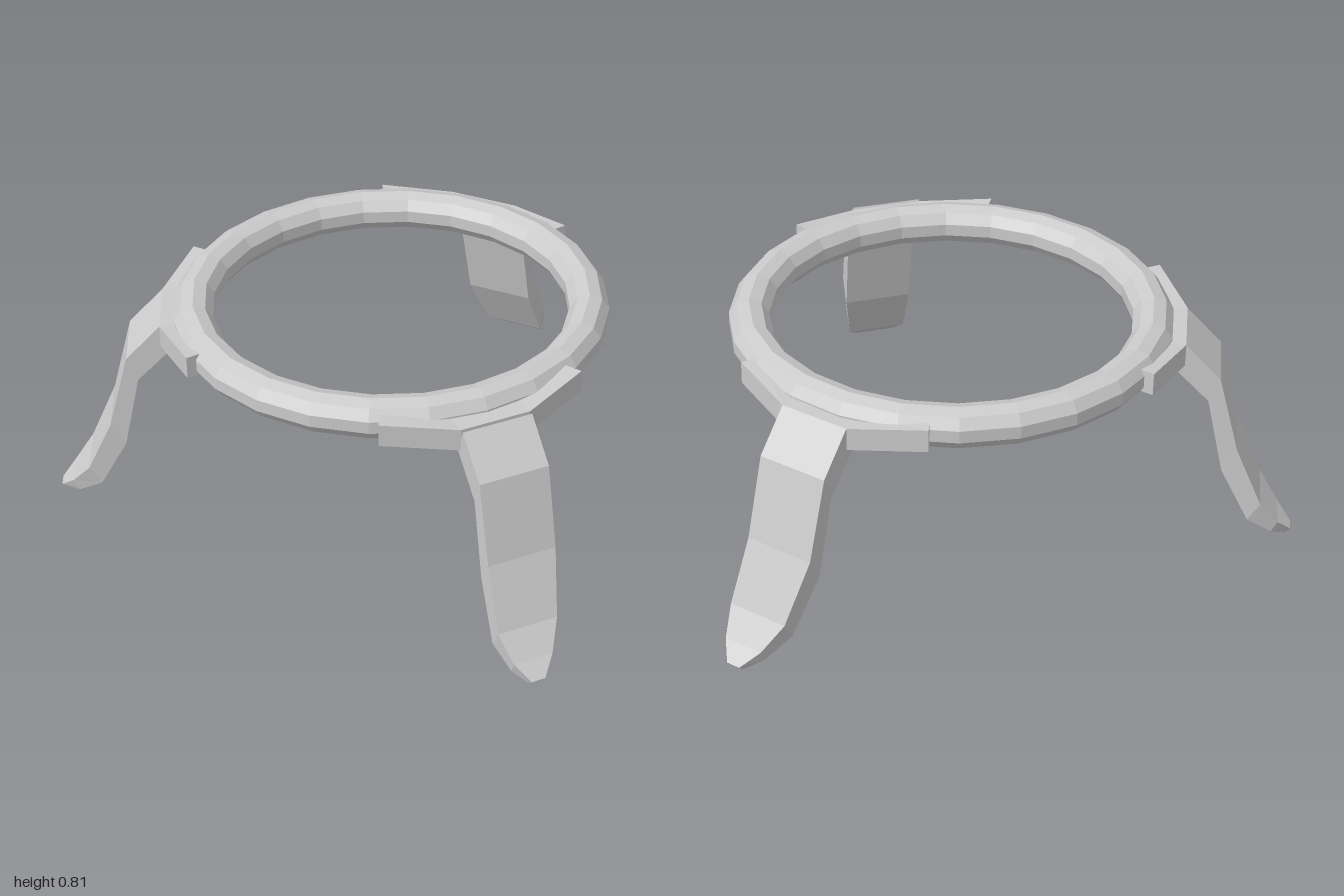
import * as THREE from 'three';

const material = new THREE.MeshStandardMaterial({ color: 0xcccccc, flatShading: true });

// Joins four-cornered cross-sections (counterclockwise about the path) into a closed solid
function loft(sections) {
  const pos = [];
  const quad = (a, b, c, d) => pos.push(...a, ...b, ...c, ...a, ...c, ...d);
  for (let i = 0; i < sections.length - 1; i++) {
    const p = sections[i], q = sections[i + 1];
    for (let k = 0; k < 4; k++) {
      const n = (k + 1) % 4;
      quad(p[k], p[n], q[n], q[k]);
    }
  }
  const [s0, s1, s2, s3] = sections[0];
  quad(s0, s3, s2, s1);
  quad(...sections[sections.length - 1]);
  const geo = new THREE.BufferGeometry();
  geo.setAttribute('position', new THREE.Float32BufferAttribute(pos, 3));
  geo.computeVertexNormals();
  return geo;
}

function named(geometry, name) {
  const mesh = new THREE.Mesh(geometry, material);
  mesh.name = name;
  return mesh;
}

// Ring: ten-sided tube in 24 segments
function makeRing() {
  const profile = [];
  for (let i = 0; i <= 10; i++) {
    const a = ((i - 0.5) / 10) * Math.PI * 2;
    profile.push(new THREE.Vector2(0.673 + 0.071 * Math.cos(a), 0.74 + 0.069 * Math.sin(a)));
  }
  return named(new THREE.LatheGeometry(profile, 24), 'ring');
}

// Leg: [outer radius, outer y, inner radius, inner y, side from, side to]
const legStations = [
  [0.78, 0.755, 0.74, 0.67, -0.122, 0.122],
  [0.9, 0.63, 0.865, 0.545, -0.122, 0.122],
  [0.973, 0.36, 0.925, 0.28, -0.115, 0.125],
  [1.065, 0.155, 1.025, 0.09, -0.078, 0.133],
  [1.13, 0.07, 1.11, 0.03, -0.03, 0.108],
  [1.178, 0.02, 1.16, 0.002, 0.02, 0.068],
];
const legGeometry = loft(legStations.map(([ro, yo, ri, yi, s0, s1]) => [
  [ro, yo, s0], [ro, yo, s1], [ri, yi, s1], [ri, yi, s0],
]));

// Bracket: wings hugging the ring, [outer radius, inner radius, side, inner side, bottom y]
const bracketStations = [
  [0.68, 0.62, -0.36, -0.325, 0.703],
  [0.78, 0.67, -0.122, -0.122, 0.677],
  [0.78, 0.67, 0.122, 0.122, 0.677],
  [0.68, 0.62, 0.36, 0.325, 0.703],
];
const bracketGeometry = loft(bracketStations.map(([ro, ri, so, si, y]) => [
  [ro, y, so], [ro, y + 0.078, so], [ri, y + 0.078, si], [ri, y, si],
]));

export function createModel() {
  const model = new THREE.Group();
  model.name = 'ringStand';
  const stand = new THREE.Group();
  stand.name = 'stand';
  stand.position.set(-0.21, 0, 0.07);
  stand.add(makeRing());

  // Three legs: angle in degrees and outward shift
  [[15, 0.03], [127.5, 0], [245, 0]].forEach(([deg, shift], i) => {
    const leg = new THREE.Group();
    leg.name = 'legAssembly' + (i + 1);
    leg.rotation.y = -THREE.MathUtils.degToRad(deg);
    const limb = named(legGeometry, 'leg');
    limb.position.x = shift;
    const bracket = named(bracketGeometry, 'bracket');
    bracket.position.x = shift / 2;
    leg.add(limb, bracket);
    stand.add(leg);
  });

  model.add(stand);
  return model;
}
